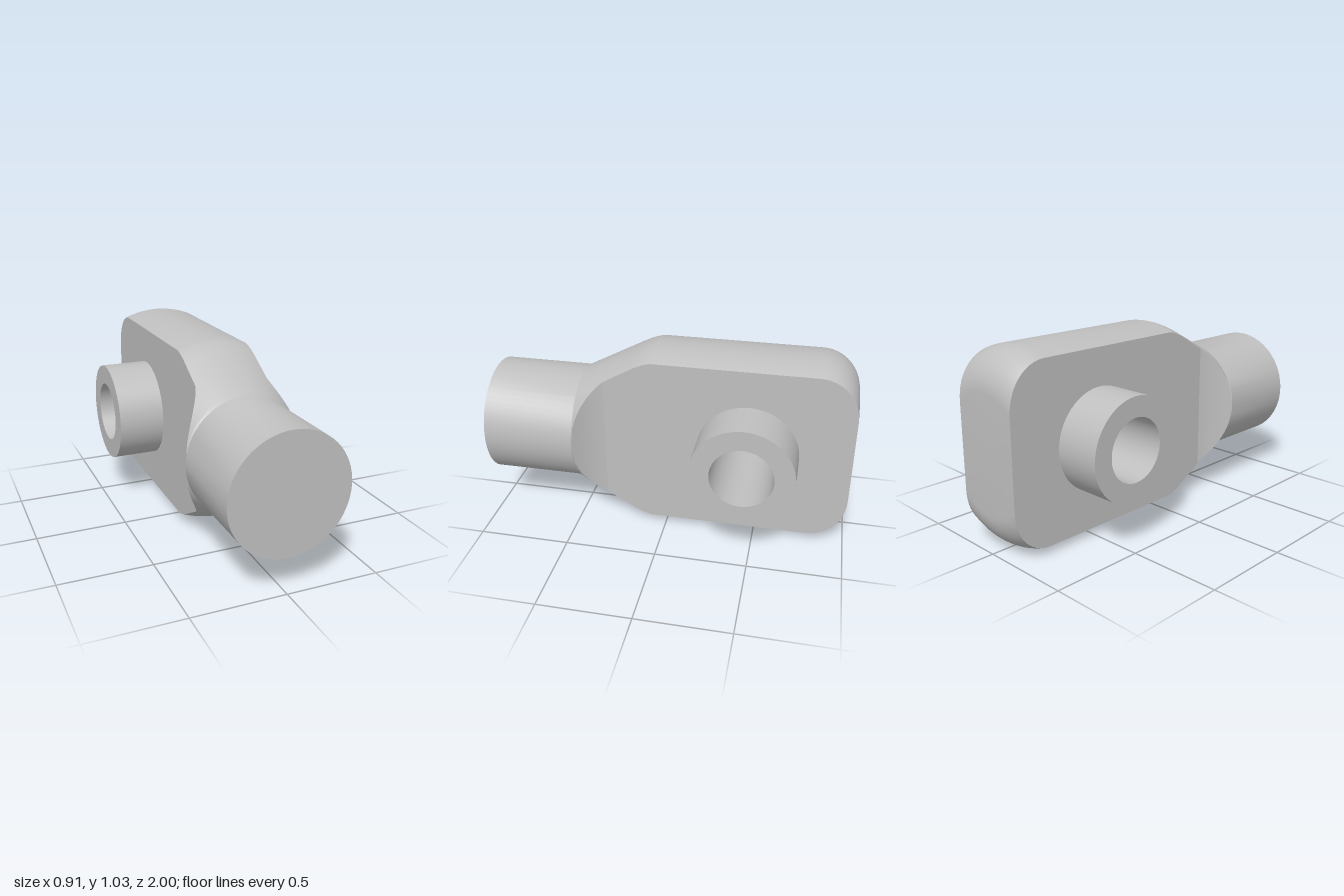
import * as THREE from 'three';
import { toCreasedNormals } from 'three/addons/utils/BufferGeometryUtils.js';

const CY = 0.517;      // height of the main axis
const HALF = 0.2;      // half thickness of the flattened eye
const SHANK = 0.32;    // shank radius
const HUB_Z = -0.445;

// Stations from front to back: z, radius of revolution, half width
function stations() {
  const list = [[1, SHANK, SHANK], [0.5, SHANK, SHANK]];
  // flared neck, cone outside and hollowed flanks
  for (let i = 1; i <= 12; i++) {
    const t = i / 12, s = 1 - t;
    const z = s * s * 0.5 + 2 * s * t * 0.43 + t * t * 0.34;
    const w = s * s * SHANK + 2 * s * t * 0.235 + t * t * HALF;
    list.push([z, SHANK + 0.51 * (0.5 - z), w]);
  }
  // rounded shoulder
  const shoulder = new THREE.QuadraticBezierCurve(
    new THREE.Vector2(0.2, 0.473), new THREE.Vector2(0.13, 0.51), new THREE.Vector2(0.08, 0.517));
  for (const p of shoulder.getPoints(8)) list.push([p.x, p.y, HALF]);
  // rounded rear edge
  for (let i = 0; i <= 16; i++) {
    const a = i / 16 * Math.PI / 2;
    list.push([-0.79 - 0.21 * Math.sin(a), 0.307 + 0.21 * Math.cos(a), HALF]);
  }
  return list;
}

// Circle cut off at both sides, clockwise seen from the front
const ARC = 32;
function section([z, r, w]) {
  const a0 = Math.asin(Math.min(1, w / r));
  const ring = [];
  for (const sign of [1, -1]) {
    for (let i = 0; i <= ARC; i++) {
      const a = -a0 + 2 * a0 * i / ARC;
      ring.push(new THREE.Vector3(sign * r * Math.sin(a), CY + sign * r * Math.cos(a), z));
    }
  }
  return ring;
}

function bodyGeometry(list) {
  const pos = [];
  const ab = new THREE.Vector3(), ac = new THREE.Vector3();
  const tri = (a, b, c) => {
    ab.subVectors(b, a);
    ac.subVectors(c, a);
    if (ab.cross(ac).length() > 1e-8) for (const p of [a, b, c]) pos.push(p.x, p.y, p.z);
  };
  const rings = list.map(section), n = rings[0].length;
  for (let s = 0; s < rings.length - 1; s++) {
    const P = rings[s], Q = rings[s + 1];
    for (let i = 0; i < n; i++) {
      const j = (i + 1) % n;
      // the plane cheeks are separate faces
      if (i % (ARC + 1) === ARC && list[s][0] < 0.341) continue;
      tri(P[i], P[j], Q[j]);
      tri(P[i], Q[j], Q[i]);
    }
  }
  // end caps
  const F = rings[0], B = rings[rings.length - 1];
  const cf = new THREE.Vector3(0, CY, 1), cb = new THREE.Vector3(0, CY, -1);
  for (let i = 0; i < n; i++) {
    const j = (i + 1) % n;
    tri(cf, F[j], F[i]);
    tri(cb, B[i], B[j]);
  }
  const g = new THREE.BufferGeometry();
  g.setAttribute('position', new THREE.Float32BufferAttribute(pos, 3));
  return toCreasedNormals(g, 0.6);
}

// Plane side of the eye, with an opening under the hub
function cheekGeometry(list, side) {
  const edge = list.filter(s => s[0] < 0.341)
    .map(([z, r, w]) => [-side * z, Math.sqrt(r * r - w * w)]);
  const outline = [
    ...edge.map(([u, h]) => new THREE.Vector2(u, h)),
    ...edge.reverse().map(([u, h]) => new THREE.Vector2(u, -h)),
  ];
  const shape = new THREE.Shape(outline);
  const hole = new THREE.Path();
  hole.absarc(-side * HUB_Z, 0, 0.25, 0, Math.PI * 2, true);
  shape.holes.push(hole);
  return new THREE.ShapeGeometry(shape, 32).rotateY(side * Math.PI / 2).translate(side * HALF, CY, 0);
}

export function createModel() {
  const model = new THREE.Group();
  const steel = new THREE.MeshStandardMaterial({ color: 0xbfbfbf });
  steel.name = 'grey steel';
  const add = (name, geometry) => {
    const mesh = new THREE.Mesh(geometry, steel);
    mesh.name = name;
    model.add(mesh);
    return mesh;
  };

  const list = stations();
  add('shankAndEyeBody', bodyGeometry(list));
  add('leftCheek', cheekGeometry(list, 1));
  add('rightCheek', cheekGeometry(list, -1));

  // hollow cross hub
  const L = 0.455, RO = 0.276, RI = 0.168;
  const profile = [[RI, -L], [RO, -L], [RO, L], [RI, L], [RI, -L]].map(p => new THREE.Vector2(...p));
  const hub = add('hub', toCreasedNormals(new THREE.LatheGeometry(profile, 72), 0.6));
  hub.rotation.z = Math.PI / 2;
  hub.position.set(0, CY, HUB_Z);

  return model;
}
